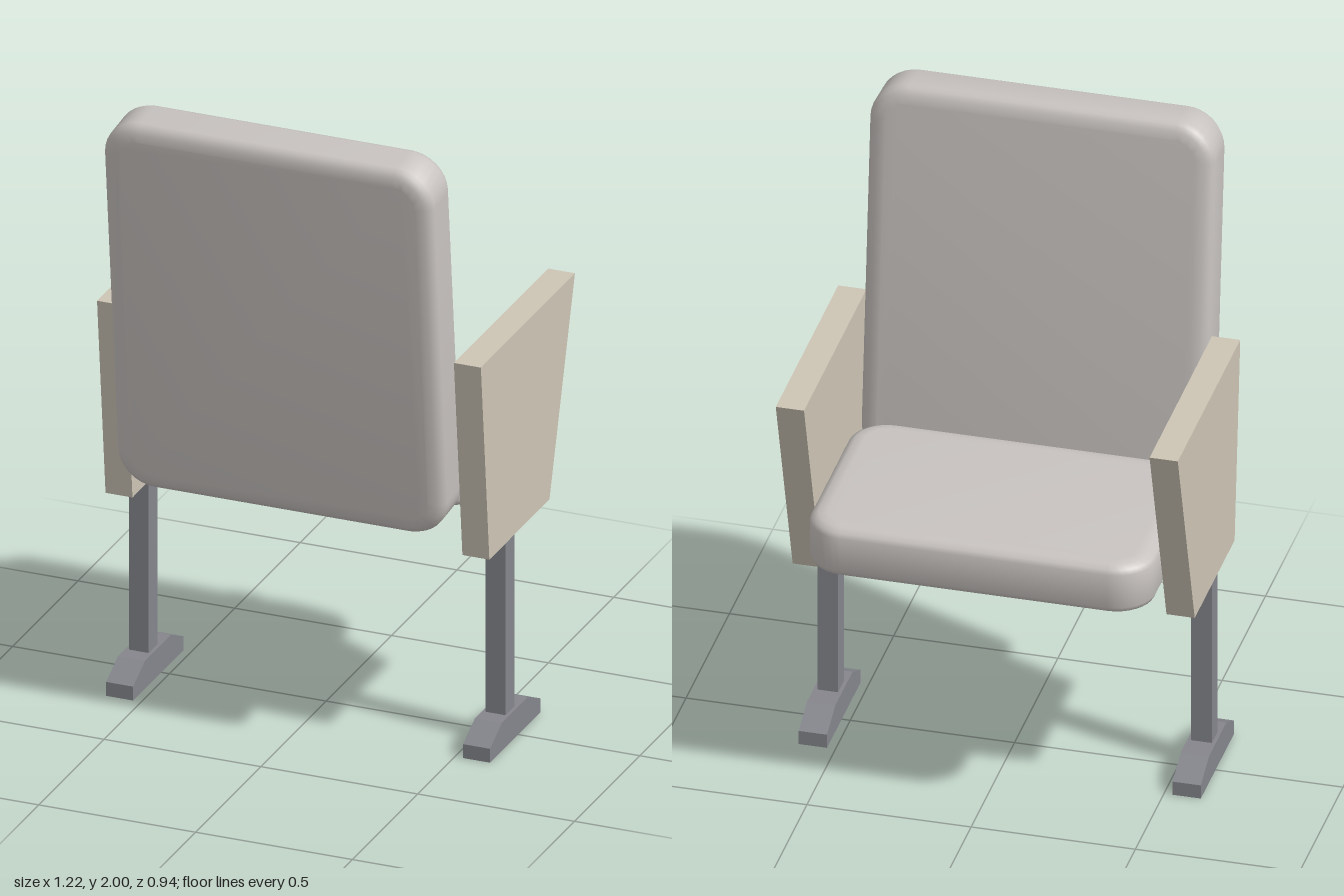
import * as THREE from 'three';
import { toCreasedNormals } from 'three/addons/utils/BufferGeometryUtils.js';

const material = (color) => new THREE.MeshStandardMaterial({ color });
const fabric = material(0xc8c3c0);
const wood = material(0xcdc5b5);
const metal = material(0x85868c);

function addMesh(parent, name, geometry, mat) {
  const mesh = new THREE.Mesh(geometry, mat);
  mesh.name = name;
  parent.add(mesh);
  return mesh;
}

// Padded slab with rounded corners and soft edges, centred and facing z
function cushion(width, height, thickness) {
  const bevel = 0.05, edge = 0.03, r = 0.07;
  const x = width / 2 - bevel, y = height / 2 - bevel;
  const shape = new THREE.Shape();
  shape.absarc(x - r, y - r, r, 0, Math.PI / 2);
  shape.absarc(-x + r, y - r, r, Math.PI / 2, Math.PI);
  shape.absarc(-x + r, -y + r, r, Math.PI, Math.PI * 1.5);
  shape.absarc(x - r, -y + r, r, Math.PI * 1.5, Math.PI * 2);
  shape.closePath();
  const geometry = new THREE.ExtrudeGeometry(shape, {
    depth: thickness - 2 * edge, curveSegments: 4,
    bevelSize: bevel, bevelThickness: edge, bevelSegments: 3,
  });
  geometry.translate(0, 0, edge - thickness / 2);
  return toCreasedNormals(geometry, 0.7);
}

// Flat plate from a [z, y] side profile, centred on x
function sidePlate(profile, width) {
  const shape = new THREE.Shape(profile.map(([z, y]) => new THREE.Vector2(z, y)));
  return new THREE.ExtrudeGeometry(shape, { depth: width, bevelEnabled: false })
    .translate(0, 0, -width / 2)
    .rotateY(-Math.PI / 2);
}

export function createModel() {
  const chair = new THREE.Group();
  chair.name = 'auditoriumChair';

  // Seat and reclined backrest; the sitter faces -z
  const seat = addMesh(chair, 'seat', cushion(1.05, 0.655, 0.17), fabric);
  seat.rotation.x = -Math.PI / 2;
  seat.position.set(0, 0.855, -0.147);

  const backrest = addMesh(chair, 'backrest', cushion(1.05, 1.235, 0.165), fabric);
  backrest.rotation.x = 0.1;
  backrest.position.set(0, 1.38, 0.33);

  // Armrest panel, post and foot on each side
  const panel = [[0.22, 0.66], [-0.24, 0.66], [-0.435, 1.31], [0.285, 1.31]];
  const foot = [[0.215, 0], [-0.17, 0], [-0.17, 0.045], [-0.075, 0.09], [0.125, 0.09], [0.215, 0.045]];
  for (const [side, s] of [['left', 1], ['right', -1]]) {
    const support = new THREE.Group();
    support.name = side + 'Support';
    support.position.x = s * 0.569;
    addMesh(support, side + 'Armrest', sidePlate(panel, 0.086), wood);
    addMesh(support, side + 'Foot', sidePlate(foot, 0.086), metal);
    const post = addMesh(support, side + 'Post', new THREE.BoxGeometry(0.063, 0.59, 0.068), metal);
    post.position.set(0, 0.375, 0.035);
    chair.add(support);
  }
  return chair;
}
